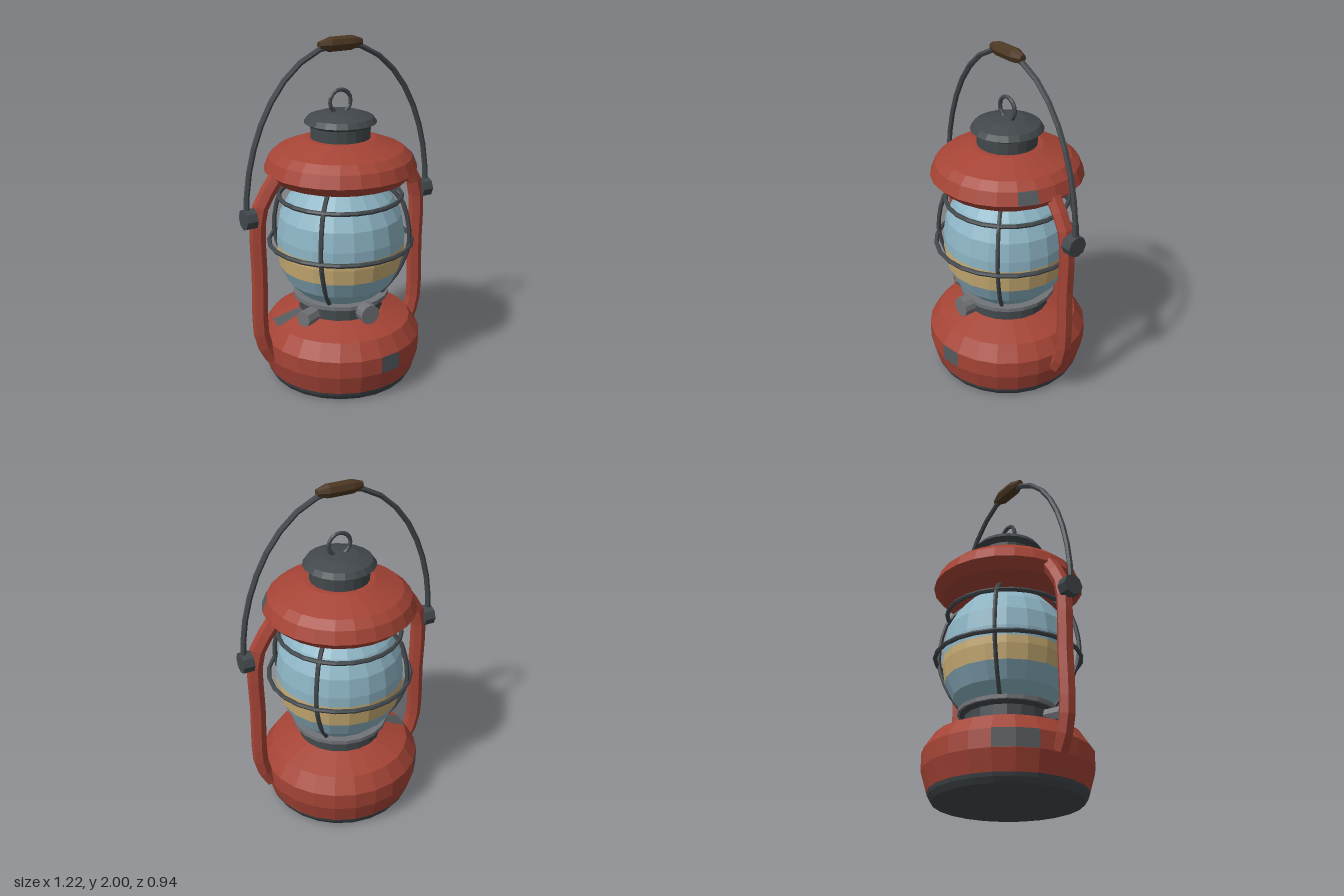
import * as THREE from 'three';

const mat = (name, color, side = THREE.FrontSide) => {
  const m = new THREE.MeshStandardMaterial({ color, flatShading: true, side });
  m.name = name;
  return m;
};

export function createModel() {
  const red = mat('red enamel', 0xa54436);
  const dark = mat('dark iron', 0x42484c);
  const steel = mat('grey steel', 0x707377);
  const glass = mat('blue glass', 0x8db4c4);
  const amber = mat('amber glass', 0xc9ad74);
  const wood = mat('dark wood', 0x4c3722);
  const worn = mat('worn metal', 0x555a5d, THREE.DoubleSide);

  const model = new THREE.Group();
  const add = (name, geo, material, parent = model) => {
    const mesh = new THREE.Mesh(geo, material);
    mesh.name = name;
    parent.add(mesh);
    return mesh;
  };
  const turned = (name, pts, sides, material) =>
    add(name, new THREE.LatheGeometry(pts.map(p => new THREE.Vector2(...p)), sides), material);

  // Tube through points, with both ends closed
  const rod = (name, pts, radius, segments, sides, material, parent) => {
    const curve = new THREE.CatmullRomCurve3(pts.map(p => new THREE.Vector3(...p)), false, 'centripetal');
    add(name, new THREE.TubeGeometry(curve, segments, radius, sides), material, parent);
    for (const t of [0, 1]) {
      const cap = add(name + 'End', new THREE.CircleGeometry(radius, sides), material, parent);
      const dir = curve.getTangent(t).multiplyScalar(t ? 1 : -1);
      cap.position.copy(curve.getPoint(t));
      cap.quaternion.setFromUnitVectors(new THREE.Vector3(0, 0, 1), dir);
    }
  };

  // Fuel tank and its foot
  turned('foot', [[0, 0], [0.41, 0], [0.43, 0.03], [0.437, 0.05]], 24, dark);
  turned('fuelTank', [[0.437, 0.05], [0.47, 0.165], [0.47, 0.265], [0.41, 0.355], [0.25, 0.415], [0, 0.415]], 24, red);

  // Burner collar with rim
  turned('burnerCollar', [[0.248, 0.41], [0.245, 0.475], [0.275, 0.495]], 20, dark);
  turned('burnerRim', [[0.25, 0.49], [0.283, 0.493], [0.283, 0.516], [0.18, 0.516]], 20, steel);

  // Glass globe with an amber band
  turned('globeLower', [[0.235, 0.515], [0.31, 0.59], [0.357, 0.685]], 20, glass);
  turned('globeBand', [[0.357, 0.685], [0.371, 0.775], [0.371, 0.82]], 20, amber);
  turned('globeUpper', [[0.371, 0.82], [0.371, 0.88], [0.353, 0.99], [0.3, 1.09], [0.22, 1.175]], 20, glass);

  // Hood, chimney and cap
  turned('hood', [[0, 1.165], [0.25, 1.165], [0.38, 1.21], [0.435, 1.265], [0.407, 1.335],
    [0.36, 1.377], [0.2, 1.437], [0.15, 1.44]], 24, red);
  turned('chimney', [[0.17, 1.43], [0.17, 1.51]], 20, dark);
  turned('cap', [[0.165, 1.505], [0.206, 1.527], [0.185, 1.557], [0.1, 1.585], [0, 1.592]], 20, dark);
  add('capRing', new THREE.TorusGeometry(0.066, 0.012, 6, 16), dark).position.y = 1.64;

  // Worn patches: thin plates lying on single facets
  const patch = (name, pts, from, facets) => {
    const step = Math.PI / 12;
    const profile = pts.map(p => new THREE.Vector2(p[0] + 0.003, p[1] + 0.002));
    add(name, new THREE.LatheGeometry(profile, facets, from * step, facets * step), worn);
  };
  patch('tankPatchFront', [[0.47, 0.165], [0.47, 0.265]], 0, 1);
  patch('tankPatchBack', [[0.47, 0.165], [0.47, 0.265]], 15, 2);
  patch('tankPatchTop', [[0.41, 0.355], [0.25, 0.415]], 17, 1);
  patch('hoodPatch', [[0.435, 1.265], [0.407, 1.335]], 4, 1);

  // Wire guard
  const guard = new THREE.Group();
  guard.name = 'wireGuard';
  model.add(guard);
  for (const [y, r] of [[0.825, 0.415], [1.1, 0.353]]) {
    const ring = add('guardRing', new THREE.TorusGeometry(r, 0.013, 6, 24), dark, guard);
    ring.rotation.x = Math.PI / 2;
    ring.position.y = y;
  }
  for (let i = 0; i < 4; i++) {
    const a = (i + 0.5) * Math.PI / 2, s = Math.sin(a), c = Math.cos(a);
    const path = [[0.245, 0.515], [0.335, 0.64], [0.405, 0.83], [0.395, 0.98], [0.355, 1.1], [0.26, 1.185]];
    rod('guardWire', path.map(([r, y]) => [r * s, y, r * c]), 0.013, 10, 6, dark, guard);
  }

  // Side arms and bail pivots
  for (const s of [1, -1]) {
    const path = [[0.455, 0.17], [0.515, 0.3], [0.522, 0.7], [0.51, 1.09], [0.4, 1.265]];
    rod('sideArm', path.map(([x, y]) => [s * x, y, 0]), 0.045, 12, 6, red);
    const pivot = add('bailPivot', new THREE.CylinderGeometry(0.06, 0.06, 0.065, 8), dark);
    pivot.rotation.z = Math.PI / 2;
    pivot.position.set(s * 0.576, 1.05, 0);
  }

  // Bail wire and wooden grip
  const arc = [];
  for (let i = 0; i <= 16; i++) {
    const a = i * Math.PI / 16;
    arc.push([0.59 * Math.cos(a), 1.05 + 0.908 * Math.sin(a), 0]);
  }
  rod('bail', arc, 0.016, 18, 6, dark);
  const grip = turned('grip', [[0, -0.133], [0.02, -0.133], [0.041, -0.07], [0.041, 0.07], [0.02, 0.133], [0, 0.133]], 8, wood);
  grip.rotation.z = Math.PI / 2;
  grip.position.y = 1.959;

  // Wick knob at the front, filler knob on the side; each points outward
  const knob = (name, angle, y, r, near, far, sides) => {
    const g = new THREE.Group();
    g.name = name;
    g.rotation.y = angle;
    g.position.y = y;
    model.add(g);
    const peg = (part, radius, z0, z1) => {
      const m = add(part, new THREE.CylinderGeometry(radius, radius, z1 - z0, sides), steel, g);
      m.rotation.x = Math.PI / 2;
      m.position.z = (z0 + z1) / 2;
    };
    peg('knobHead', r, near, far);
    peg('knobStem', 0.018, 0.2, near);
  };
  knob('wickKnob', 0, 0.477, 0.058, 0.275, 0.342, 12);
  knob('fillerKnob', -1.18, 0.437, 0.047, 0.25, 0.345, 8);

  return model;
}
